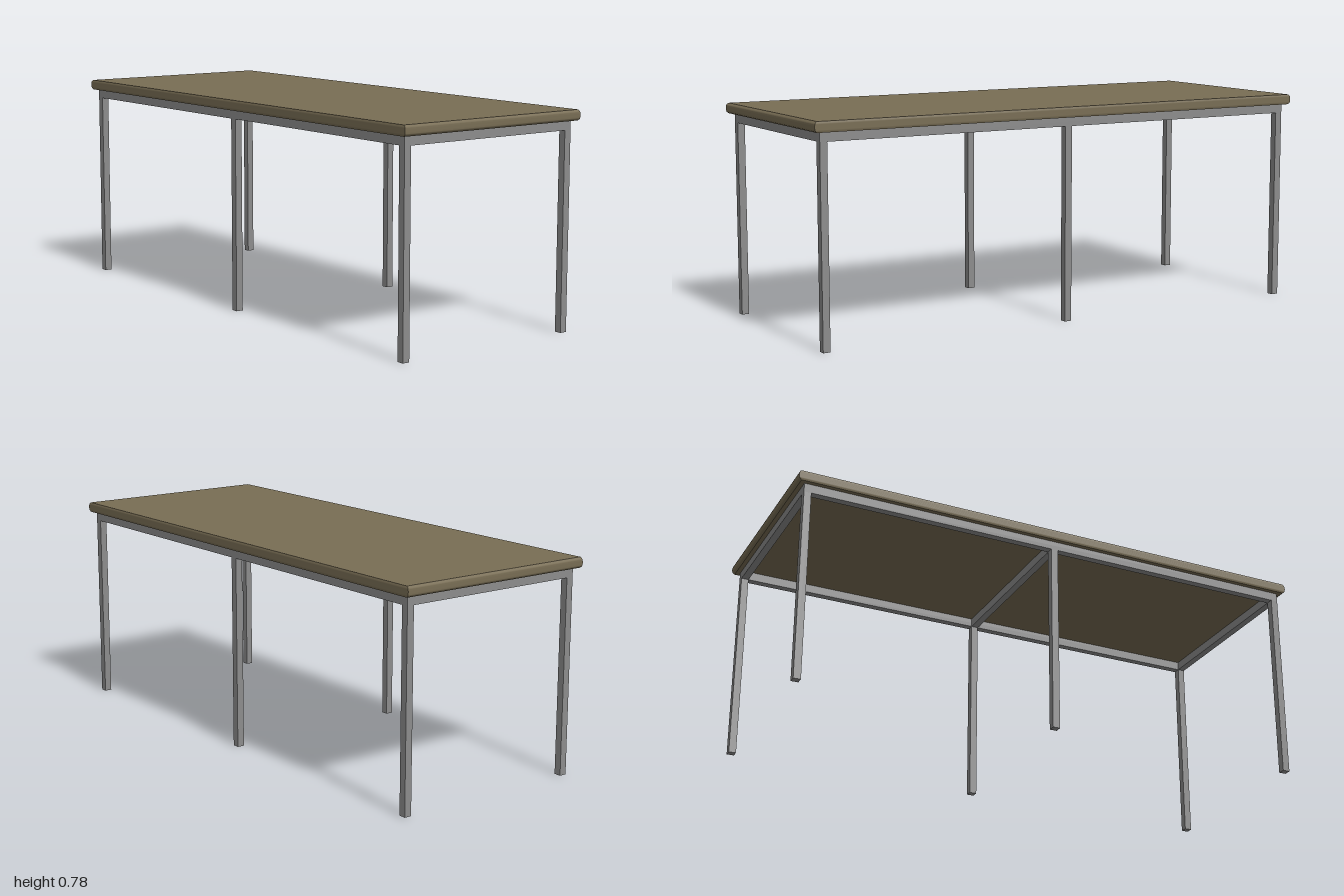
import * as THREE from 'three';
import { toCreasedNormals } from 'three/addons/utils/BufferGeometryUtils.js';

const TOP_Y = 0.783, RAIL_TOP = 0.745, RAIL_BOTTOM = 0.712;
const TUBE = 0.027, LEG_X = 0.3565, LEG_Z = 0.96;

const wood = new THREE.MeshStandardMaterial({ color: 0x786d54 });
const metal = new THREE.MeshStandardMaterial({ color: 0x8c8c8c });

function bar(name, w, h, d, x, y, z) {
  const mesh = new THREE.Mesh(new THREE.BoxGeometry(w, h, d), metal);
  mesh.name = name;
  mesh.position.set(x, y, z);
  return mesh;
}

// Slab whose edges bulge outwards: deeper on the short ends, shallow on the long sides
function makeTableTop() {
  const h = TOP_Y - RAIL_TOP;
  const geometry = new THREE.BoxGeometry(0.78, h, 2, 1, 8, 1);
  const p = geometry.attributes.position;
  for (let i = 0; i < p.count; i++) {
    const t = Math.min(1, Math.abs(p.getY(i)) / (h / 2));
    const inset = 1 - Math.sqrt(1 - t * t);
    p.setX(i, p.getX(i) - Math.sign(p.getX(i)) * 0.003 * inset);
    p.setZ(i, p.getZ(i) - Math.sign(p.getZ(i)) * 0.01 * inset);
  }
  const mesh = new THREE.Mesh(toCreasedNormals(geometry, 0.6), wood);
  mesh.name = 'tableTop';
  mesh.position.y = (TOP_Y + RAIL_TOP) / 2;
  return mesh;
}

export function createModel() {
  const table = new THREE.Group();
  table.name = 'table';
  table.add(makeTableTop());

  const frame = new THREE.Group();
  frame.name = 'frame';
  table.add(frame);

  const railH = RAIL_TOP - RAIL_BOTTOM;
  const railY = (RAIL_TOP + RAIL_BOTTOM) / 2;

  // Long rails under both sides
  for (const [side, s] of [['left', 1], ['right', -1]]) {
    frame.add(bar(side + 'SideRail', TUBE, railH, 2 * LEG_Z + TUBE, s * LEG_X, railY, 0));
  }

  // Cross rails with a pair of legs at the front, middle and back
  for (const [place, z] of [['front', LEG_Z], ['middle', 0], ['back', -LEG_Z]]) {
    frame.add(bar(place + 'CrossRail', 2 * LEG_X - TUBE, railH, TUBE, 0, railY, z));
    for (const [side, s] of [['Left', 1], ['Right', -1]]) {
      frame.add(bar(place + side + 'Leg', TUBE, RAIL_BOTTOM, TUBE, s * LEG_X, RAIL_BOTTOM / 2, z));
    }
  }
  return table;
}
